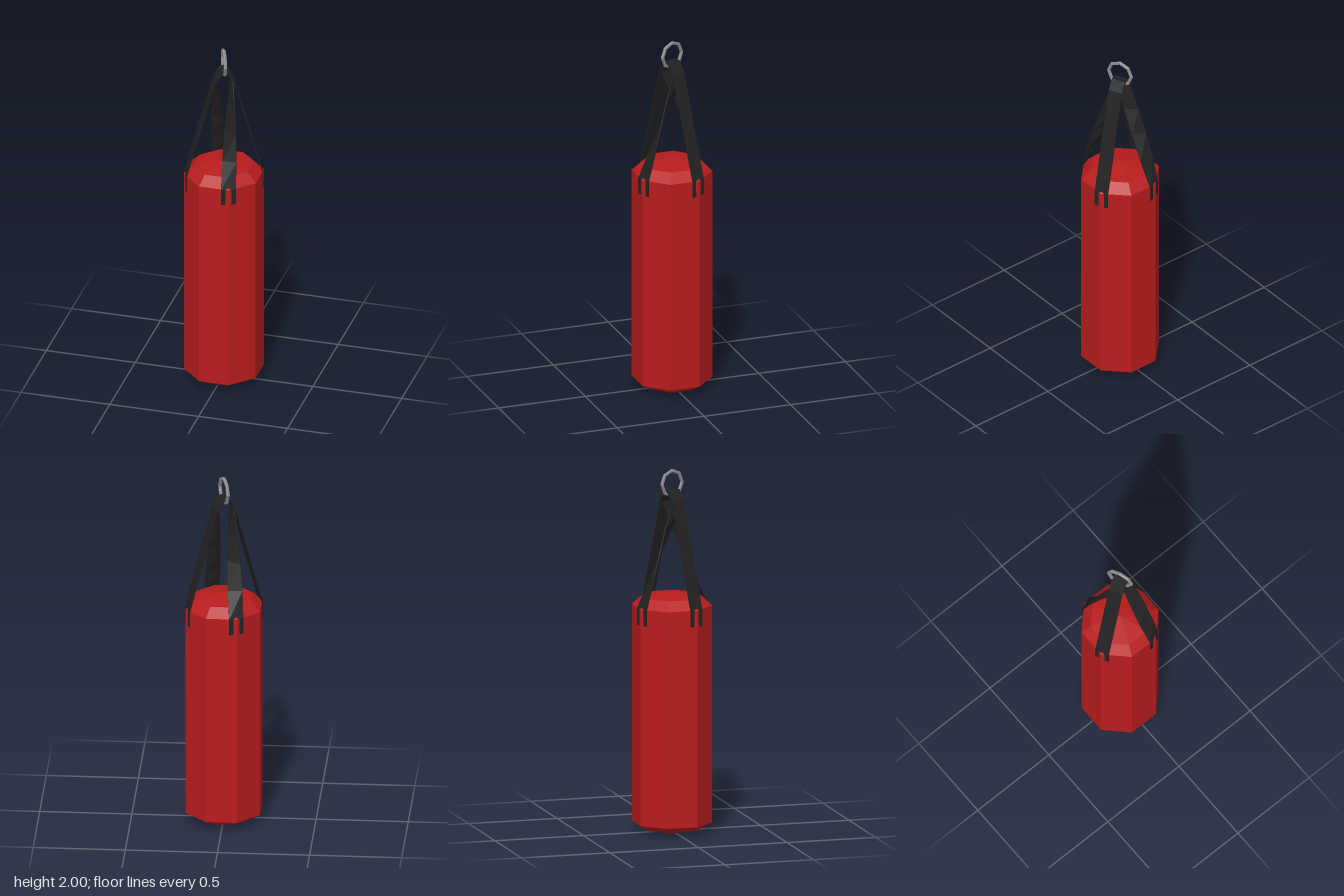
import * as THREE from 'three';

const mat = (color) => new THREE.MeshStandardMaterial({ color, flatShading: true });
const V = (x, y, z) => new THREE.Vector3(x, y, z);

function addMesh(parent, name, geometry, material) {
  const mesh = new THREE.Mesh(geometry, material);
  mesh.name = name;
  parent.add(mesh);
  return mesh;
}

// Flat webbing swept along sections { p: centre, a: width direction in the xz plane }
function webbing(sections, halfWidth = 0.04, halfThick = 0.003) {
  const pos = [], index = [], last = sections.length - 1;
  sections.forEach(({ p, a }, i) => {
    const t = sections[Math.min(i + 1, last)].p.clone().sub(sections[Math.max(i - 1, 0)].p);
    const w = V(Math.cos(a), 0, Math.sin(a));
    const n = t.cross(w).normalize();
    for (const [u, v] of [[1, 1], [-1, 1], [-1, -1], [1, -1]]) {
      const c = p.clone().addScaledVector(w, u * halfWidth).addScaledVector(n, v * halfThick);
      pos.push(c.x, c.y, c.z);
    }
    if (i === last) return;
    for (let j = 0; j < 4; j++) {
      const k = (j + 1) % 4, b = i * 4;
      index.push(b + j, b + k, b + 4 + k, b + j, b + 4 + k, b + 4 + j);
    }
  });
  const e = last * 4;
  index.push(0, 2, 1, 0, 3, 2, e, e + 1, e + 2, e, e + 2, e + 3);
  const g = new THREE.BufferGeometry();
  g.setAttribute('position', new THREE.Float32BufferAttribute(pos, 3));
  g.setIndex(index);
  g.computeVertexNormals();
  return g;
}

export function createModel() {
  const model = new THREE.Group();
  model.name = 'punchingBag';
  const red = mat(0xb81c1c), black = mat(0x222222), steel = mat(0x8a8a8a);

  // Octagonal bag with bevelled base and shallow domed top
  const profile = [[0, 0.004], [0.16, 0.02], [0.219, 0.055], [0.219, 1.25], [0.165, 1.3], [0, 1.323]]
    .map(([r, y]) => new THREE.Vector2(r, y));
  addMesh(model, 'bag', new THREE.LatheGeometry(profile, 8, Math.PI / 8), red);

  // Hanging gear, turned so the straps meet the bag's corners
  const hanger = new THREE.Group();
  hanger.name = 'hanger';
  hanger.rotation.y = Math.PI / 8;
  model.add(hanger);

  // Upper strap: straight over the ring, side to side
  const half = [[0.209, 1.16], [0.209, 1.25], [0.05, 1.83], [0.016, 1.882]];
  const upper = [
    ...half.map(([x, y]) => ({ p: V(x, y, 0), a: Math.PI / 2 })),
    ...[...half].reverse().map(([x, y]) => ({ p: V(-x, y, 0), a: Math.PI / 2 })),
  ];
  addMesh(hanger, 'upperStrap', webbing(upper), black);

  // Lower strap: rises front and back, twisting a quarter turn to pass through the ring
  const rise = [{ p: V(0, 1.16, 0.209), a: 0 }];
  const foot = V(0, 1.25, 0.209), neck = V(0.045, 1.82, 0);
  for (let i = 0; i <= 4; i++) {
    rise.push({ p: foot.clone().lerp(neck, i / 4), a: (i / 4) * Math.PI / 2 });
  }
  rise.push({ p: V(0.013, 1.873, 0), a: Math.PI / 2 });
  const lower = [
    ...rise,
    ...[...rise].reverse().map(({ p, a }) => ({ p: V(-p.x, p.y, -p.z), a })),
  ];
  addMesh(hanger, 'lowerStrap', webbing(lower), black);

  // Hanging ring
  const ring = addMesh(hanger, 'ring', new THREE.TorusGeometry(0.07, 0.01, 6, 8), steel);
  ring.rotation.y = Math.PI / 2;
  ring.position.y = 1.92;

  return model;
}
